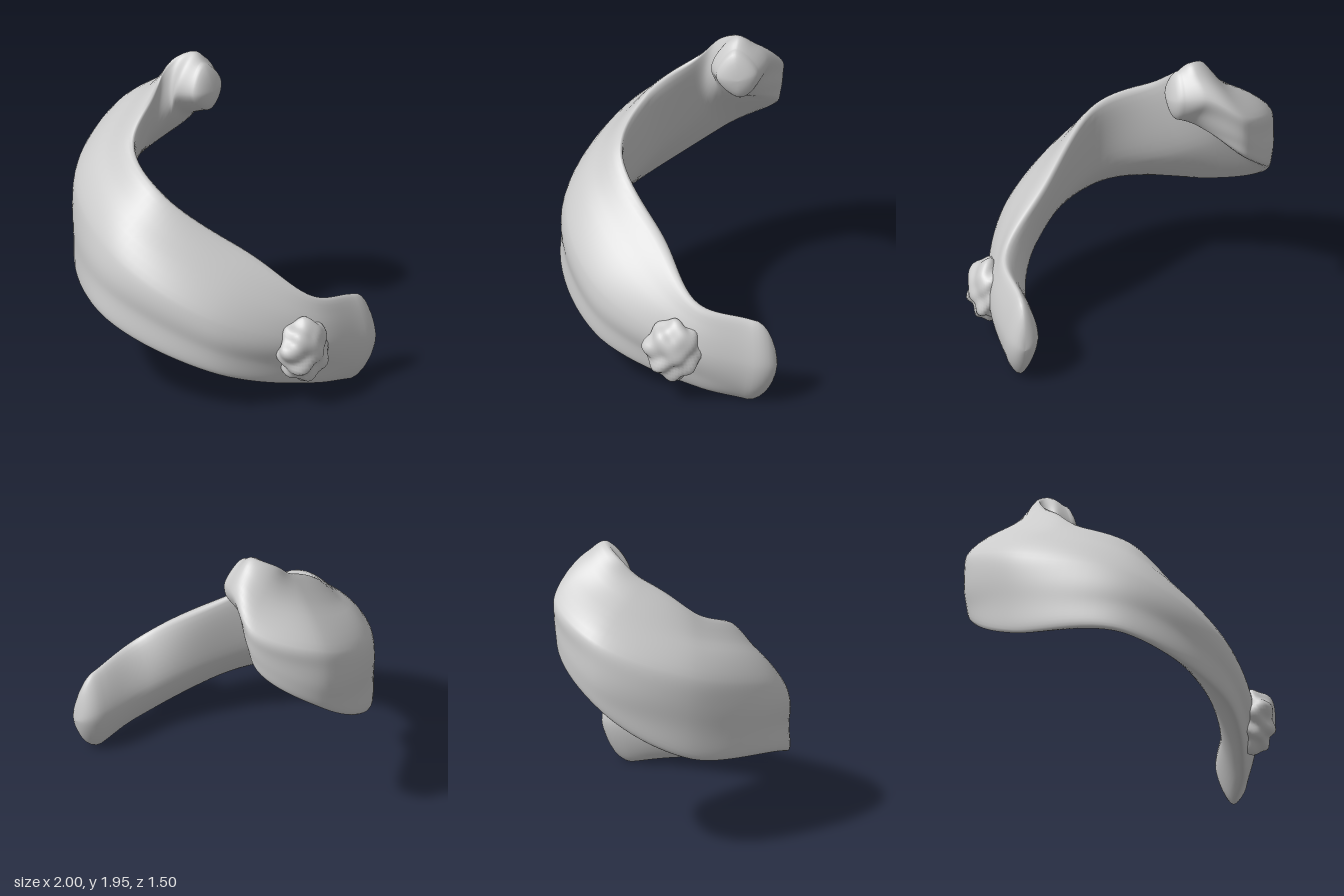
import * as THREE from 'three';

const RINGS = 90, SIDES = 50, CAP = 7;
const rail = points => new THREE.CatmullRomCurve3(points.map(p => new THREE.Vector3(...p)));

// Four rails run along the curved band from the raised knob to the low tail.
const topEdge = rail([
  [-0.34, 1.9, -0.33], [-0.42, 1.95, -0.33], [-0.52, 1.86, -0.21], [-0.48, 1.72, -0.04],
  [-0.38, 1.52, 0.24], [0.02, 1.31, 0.37], [0.45, 0.98, 0.05], [0.79, 0.68, -0.22], [0.8, 0.58, -0.58]]);
const shoulder = rail([
  [-0.33, 1.76, -0.48], [-0.46, 1.78, -0.53], [-0.7, 1.64, -0.58], [-0.98, 1.45, -0.2],
  [-0.75, 1.21, 0.38], [-0.05, 0.98, 0.71], [0.58, 0.65, 0.46], [0.89, 0.4, -0.2], [0.9, 0.3, -0.6]]);
const bottomEdge = rail([
  [-0.32, 1.57, -0.36], [-0.41, 1.53, -0.38], [-0.7, 1.35, -0.56], [-0.96, 1, -0.2],
  [-0.76, 0.67, 0.35], [-0.12, 0.54, 0.74], [0.58, 0.25, 0.42], [0.8, 0.06, -0.25], [0.8, 0, -0.55]]);
const innerFace = rail([
  [-0.31, 1.72, -0.21], [-0.4, 1.7, -0.17], [-0.49, 1.52, -0.2], [-0.65, 1.26, -0.1],
  [-0.5, 0.96, 0.25], [0, 0.77, 0.46], [0.45, 0.5, 0.18], [0.66, 0.35, -0.25], [0.69, 0.3, -0.6]]);

// One closed cross-section: flat outer flank, round ends, a groove by the top edge.
function section(t) {
  const [top, out, low, inner] = [topEdge, shoulder, bottomEdge, innerFace].map(r => r.getPoint(t));
  const fade = Math.min(1, 1.6 * Math.sin(Math.PI * t));
  const middle = top.clone().add(out).add(low).add(inner).multiplyScalar(0.25);
  const flank = out.clone().lerp(low, 0.5);
  const outward = flank.clone().sub(middle).normalize();
  flank.addScaledVector(outward, out.distanceTo(low) * (0.2 - 0.13 * fade));
  const loop = new THREE.CatmullRomCurve3([top, out, flank, low, inner], true);
  const pts = Array.from({ length: SIDES }, (_, j) => loop.getPoint(j / SIDES));
  const centre = pts.reduce((s, p) => s.add(p), new THREE.Vector3()).divideScalar(SIDES);
  pts.forEach((p, j) => {
    const u = j / SIDES;
    const groove = -0.07 * Math.exp(-(((u - 0.09) / 0.035) ** 2));
    const fold = 0.02 * Math.sin(u * 30 + 6 * t) + 0.015 * Math.sin(u * 19 + 33 * t);
    p.sub(centre).multiplyScalar(1 + (groove + fold) * fade).add(centre);
  });
  return { pts, centre };
}

// Shrinking rings that round off an end.
function capRings(end, direction, bulge) {
  return Array.from({ length: CAP }, (_, k) => {
    const a = ((k + 1) / CAP) * Math.PI / 2;
    const s = Math.max(Math.cos(a), 0.001);
    return end.pts.map(p => p.clone().sub(end.centre).multiplyScalar(s)
      .add(end.centre).addScaledVector(direction, Math.sin(a) * bulge));
  });
}

function bandGeometry() {
  const body = Array.from({ length: RINGS + 1 }, (_, i) => section(i / RINGS));
  const head = capRings(body[0], new THREE.Vector3(1, 0, 0.1), 0.07).reverse();
  const tail = capRings(body[RINGS], new THREE.Vector3(0, 0, -1), 0.16);
  const rings = [...head, ...body.map(s => s.pts), ...tail];
  const positions = [], index = [];
  rings.forEach(r => r.forEach(p => positions.push(p.x, p.y, p.z)));
  for (let i = 0; i < rings.length - 1; i++) {
    for (let j = 0; j < SIDES; j++) {
      const a = i * SIDES + j, b = i * SIDES + (j + 1) % SIDES;
      index.push(a, b, a + SIDES, b, b + SIDES, a + SIDES);
    }
  }
  const g = new THREE.BufferGeometry();
  g.setAttribute('position', new THREE.Float32BufferAttribute(positions, 3));
  g.setIndex(index);
  g.computeVertexNormals();
  return g;
}

// A flattened ball with knobbly swellings.
function clusterGeometry() {
  const g = new THREE.SphereGeometry(1, 48, 32);
  const pos = g.attributes.position, p = new THREE.Vector3();
  for (let i = 0; i < pos.count; i++) {
    p.fromBufferAttribute(pos, i);
    const bump = 0.12 * Math.sin(6 * p.y + 1) * Math.sin(6 * p.z + 2) + 0.06 * Math.sin(9 * p.y + 5 * p.z + 4 * p.x);
    p.multiplyScalar(1 + bump);
    pos.setXYZ(i, p.x * 0.12, p.y * 0.2, p.z * 0.18);
  }
  g.computeVertexNormals();
  return g;
}

export function createModel() {
  const group = new THREE.Group();
  const material = new THREE.MeshStandardMaterial({ color: 0xcccccc });

  const band = new THREE.Mesh(bandGeometry(), material);
  band.name = 'curvedBand';
  group.add(band);

  // Knobbly cluster on the outer side of the low end
  const cluster = new THREE.Mesh(clusterGeometry(), material);
  cluster.name = 'lumpCluster';
  cluster.position.set(0.865, 0.36, -0.08);
  group.add(cluster);
  return group;
}
